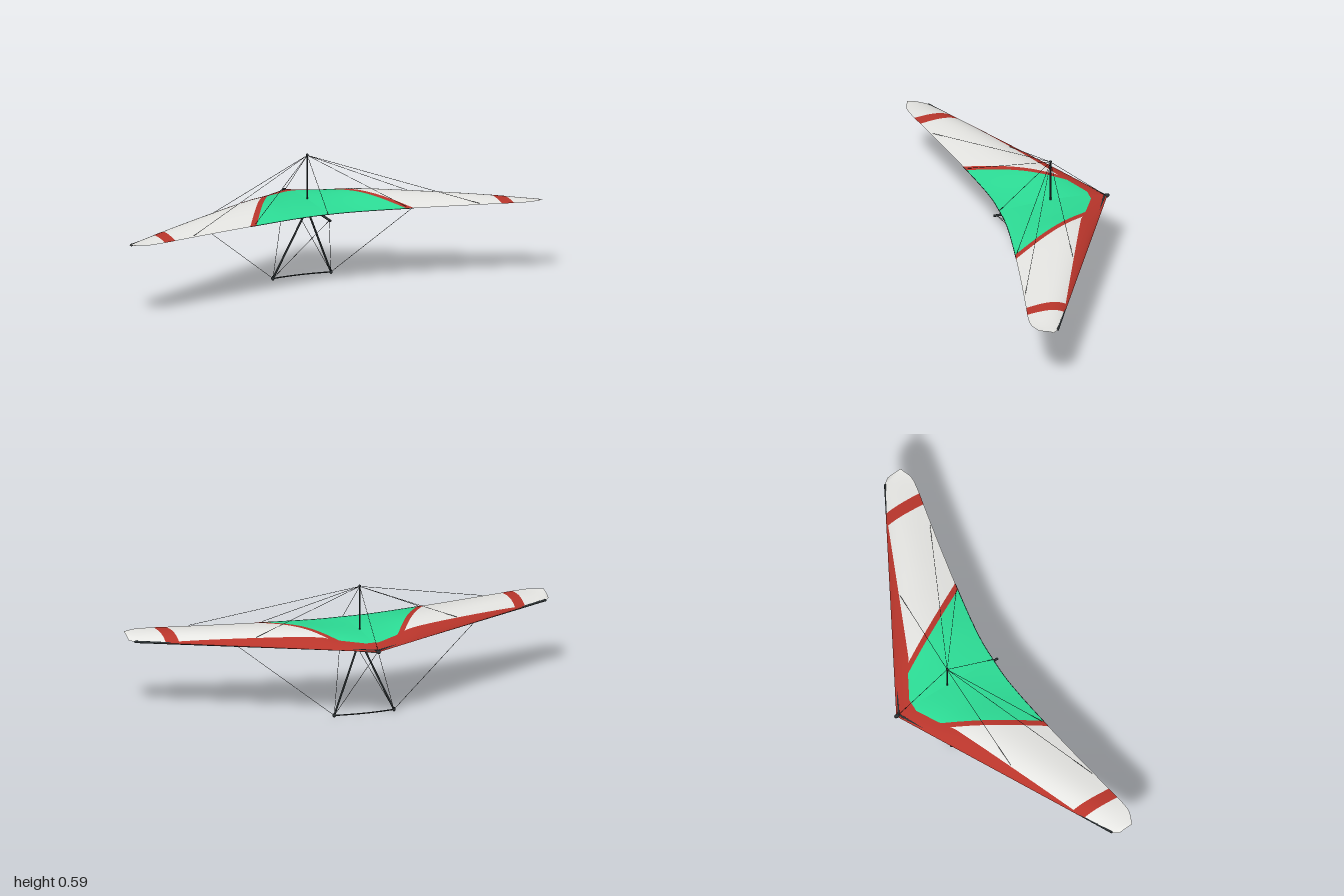
import * as THREE from 'three';

const material = (name, color) => {
  const m = new THREE.MeshStandardMaterial({ color });
  m.name = name;
  return m;
};

// Piecewise interpolation through [x, value] points, straight or smooth
function through(points, smooth) {
  const n = points.length;
  const slope = i => {
    const a = points[Math.max(i - 1, 0)], b = points[Math.min(i + 1, n - 1)];
    return (b[1] - a[1]) / (b[0] - a[0]);
  };
  return x => {
    let i = 0;
    while (i < n - 2 && x > points[i + 1][0]) i++;
    const [x0, v0] = points[i], [x1, v1] = points[i + 1];
    const h = x1 - x0, t = Math.min(1, Math.max(0, (x - x0) / h));
    if (!smooth) return v0 + (v1 - v0) * t;
    const t2 = t * t, t3 = t2 * t;
    return (2 * t3 - 3 * t2 + 1) * v0 + (t3 - 2 * t2 + t) * h * slope(i)
      + (3 * t2 - 2 * t3) * v1 + (t3 - t2) * h * slope(i + 1);
  };
}

// Sail outline, as a function of distance from the centre line
const leading = through([[0, -0.322], [0.95, 0.198], [0.985, 0.222], [1, 0.245]], false);
const trailing = through([[0, 0.19], [0.1, 0.192], [0.2, 0.203], [0.4, 0.235], [0.6, 0.272],
  [0.8, 0.312], [0.88, 0.328], [0.94, 0.333], [1, 0.312]], true);
const trailingY = through([[0, 0.373], [0.4, 0.371], [1, 0.368]], true);
const crest = through([[0, 0.021], [0.12, 0.031], [0.25, 0.043], [0.5, 0.037], [0.8, 0.022], [1, 0.004]], true);
const belly = through([[0, 0.033], [0.1, 0.02], [0.2, 0.009], [0.5, 0.006], [1, 0.002]], true);
const leadingY = x => 0.357 - 0.012 * x;

// Height of the upper or lower sail skin
function skinY(x, z, lower) {
  const z0 = leading(x), z1 = trailing(x);
  const s = Math.min(1, Math.max(0, (z - z0) / (z1 - z0)));
  const chord = leadingY(x) + (trailingY(x) - leadingY(x)) * s;
  if (!lower) return chord + crest(x) * Math.sin(Math.PI * Math.pow(s, 0.72));
  return s < 0.65 ? chord - belly(x) * Math.sin(Math.PI * Math.pow(s / 0.65, 0.8)) : chord;
}

// Piece of sail between two edge lines; side is +1 or -1
function sailPanel(side, x0, x1, from, to, lower = false, offset = 0) {
  const cols = Math.max(1, Math.round((x1 - x0) / 0.01)), rows = 16, e = 0.004;
  const position = [], normal = [], index = [];
  for (let i = 0; i <= cols; i++) {
    const x = x0 + (x1 - x0) * i / cols, a = from(x), b = Math.max(a, to(x));
    for (let j = 0; j <= rows; j++) {
      const z = a + (b - a) * j / rows;
      position.push(side * x, skinY(x, z, lower) - offset, z);
      const xa = Math.max(0, x - e), xb = Math.min(1, x + e);
      const za = Math.max(leading(x), z - e), zb = Math.min(trailing(x), z + e);
      const dx = (skinY(xb, z, lower) - skinY(xa, z, lower)) / (xb - xa);
      const dz = (skinY(x, zb, lower) - skinY(x, za, lower)) / Math.max(zb - za, 1e-5);
      const n = new THREE.Vector3(-dx * side, 1, -dz).normalize().multiplyScalar(lower ? -1 : 1);
      normal.push(n.x, n.y, n.z);
      if (i < cols && j < rows) {
        const p = i * (rows + 1) + j, q = p + rows + 1;
        if ((side > 0) !== lower) index.push(p, p + 1, q, q, p + 1, q + 1);
        else index.push(p, q, p + 1, q, q + 1, p + 1);
      }
    }
  }
  const g = new THREE.BufferGeometry();
  g.setAttribute('position', new THREE.Float32BufferAttribute(position, 3));
  g.setAttribute('normal', new THREE.Float32BufferAttribute(normal, 3));
  g.setIndex(index);
  return g;
}

export function createModel() {
  const model = new THREE.Group();
  const white = material('white sail', 0xe5e5e2);
  const red = material('red trim', 0xb8352b);
  const green = material('green sail', 0x2cdc95);
  const dark = material('dark frame', 0x2a3032);
  const wireGrey = material('wire grey', 0x26282a);

  const add = (name, geometry, mat, parent = model) => {
    const mesh = new THREE.Mesh(geometry, mat);
    mesh.name = name;
    parent.add(mesh);
    return mesh;
  };
  const V = (x, y, z) => new THREE.Vector3(x, y, z);
  const rod = (name, a, b, r, mat = dark, sides = 10) => {
    const d = b.clone().sub(a);
    const mesh = add(name, new THREE.CylinderGeometry(r, r, d.length(), sides), mat);
    mesh.position.copy(a).add(b).multiplyScalar(0.5);
    mesh.quaternion.setFromUnitVectors(V(0, 1, 0), d.normalize());
  };
  const wire = (a, b) => rod('wire', a, b, 0.001, wireGrey, 6);
  const ball = (name, p, r, sz = 1) => {
    const mesh = add(name, new THREE.SphereGeometry(r, 16, 12), dark);
    mesh.position.copy(p);
    mesh.scale.z = sz;
  };

  // Colour borders on the upper sail
  const bandLine = through([[0, -0.235], [0.03, -0.235], [0.13, -0.18], [0.2, -0.135],
    [0.5, -0.005], [0.86, 0.151]], false);
  const band = x => x > 0.855 ? leading(x) : Math.max(leading(x), bandLine(x));
  const stripeInner = x => Math.min(trailing(x), Math.max(band(x), -0.18 + (x - 0.137) * 1.77));
  const stripeOuter = x => Math.min(trailing(x), Math.max(band(x), -0.15 + (x - 0.18) * 1.74));

  const top = V(0, 0.588, -0.053);
  for (const side of [1, -1]) {
    const sail = new THREE.Group();
    sail.name = side > 0 ? 'leftSail' : 'rightSail';
    model.add(sail);
    const panel = (name, mat, ...args) => add(name, sailPanel(side, ...args), mat, sail);

    // Upper skin
    panel('leadingEdgeBand', red, 0, 0.86, leading, band);
    panel('centrePanel', green, 0, 0.38, stripeInner, trailing);
    panel('diagonalStripe', red, 0.13, 0.41, stripeOuter, stripeInner);
    panel('outerPanel', white, 0.17, 0.8, band, stripeOuter);
    panel('tipStripe', red, 0.8, 0.855, band, trailing);
    panel('tipPanel', white, 0.855, 1, band, trailing);

    // Lower skin with its trim
    panel('lowerPanel', white, 0, 0.88, leading, trailing, true);
    panel('lowerTip', red, 0.88, 1, leading, trailing, true);
    const rear = x => trailing(x) - 0.06 + 0.04 * x;
    panel('lowerRearTrim', green, 0, 0.36, rear, trailing, true, 0.002);
    panel('lowerRearTrimEnd', red, 0.36, 0.4, rear, trailing, true, 0.002);
    panel('lowerTipTrim', red, 0.78, 0.805, x => trailing(x) - 0.025, trailing, true, 0.002);

    // Slanted stripes under the wing, from near the leading edge towards the back
    const slanted = points => {
      const mid = through(points, true);
      const clamp = (x, z) => Math.min(trailing(x), Math.max(leading(x) + 0.005, z));
      panel('lowerSlantStripe', green, points[0][0], points[points.length - 1][0],
        x => clamp(x, mid(x) - 0.028), x => clamp(x, mid(x) + 0.028), true, 0.002);
    };
    slanted([[0.27, -0.13], [0.41, 0.03], [0.61, 0.195]]);
    slanted([[0.61, 0.055], [0.72, 0.18], [0.83, 0.285]]);

    // Leading edge spar, inside the sail at the nose and showing towards the tip
    const sparTip = V(side * 0.975, 0.344, 0.217);
    rod('leadingEdgeSpar', V(0, 0.359, -0.308), sparTip, 0.0055);
    ball('sparEnd', sparTip, 0.0062);

    // Control frame leg and corner
    const corner = V(side * 0.142, 0.011, -0.115);
    rod('controlFrameLeg', V(0, 0.337, -0.055), corner, 0.0045);
    ball('frameCorner', corner, 0.008, 1.1);
    rod('cornerFoot', V(side * 0.142, 0.003, -0.115), V(side * 0.142, 0.022, -0.115), 0.004);

    // Rigging wires
    wire(top, V(side * 0.53, 0.36, -0.005));
    wire(top, V(side * 0.7, 0.374, 0.285));
    wire(top, V(side * 0.37, 0.378, 0.222));
    wire(corner, V(0, 0.357, -0.312));
    wire(corner, V(side * 0.57, 0.352, 0));
    wire(corner, V(0, 0.348, 0.2));
  }
  wire(top, V(0, 0.36, -0.312));
  wire(top, V(0, 0.373, 0.188));

  // Keel, nose cap and mast
  rod('keel', V(0, 0.357, -0.32), V(0, 0.35, 0.215), 0.0055);
  ball('noseCap', V(0, 0.357, -0.318), 0.0095, 1.5);
  rod('mast', V(0, 0.35, -0.053), top, 0.004);
  ball('mastTop', V(0, 0.59, -0.053), 0.006);

  // Bracket where the control frame meets the keel
  const bracket = add('frameBracket', new THREE.BoxGeometry(0.012, 0.022, 0.012), red);
  bracket.position.set(0, 0.337, -0.051);
  ball('frameApex', V(0, 0.333, -0.055), 0.006);

  // Bowed base bar
  const bar = new THREE.CatmullRomCurve3([V(-0.142, 0.011, -0.115), V(-0.09, 0.011, -0.122),
    V(0, 0.011, -0.127), V(0.09, 0.011, -0.122), V(0.142, 0.011, -0.115)]);
  add('baseBar', new THREE.TubeGeometry(bar, 24, 0.003, 8), dark);

  // Cord along the central trailing edge
  const cord = [];
  for (let i = -4; i <= 4; i++) {
    const t = Math.abs(i) / 10;
    cord.push(V(i / 10, trailingY(t), trailing(t)));
  }
  add('trailingEdgeCord', new THREE.TubeGeometry(new THREE.CatmullRomCurve3(cord), 32, 0.0013, 6), dark);

  return model;
}
